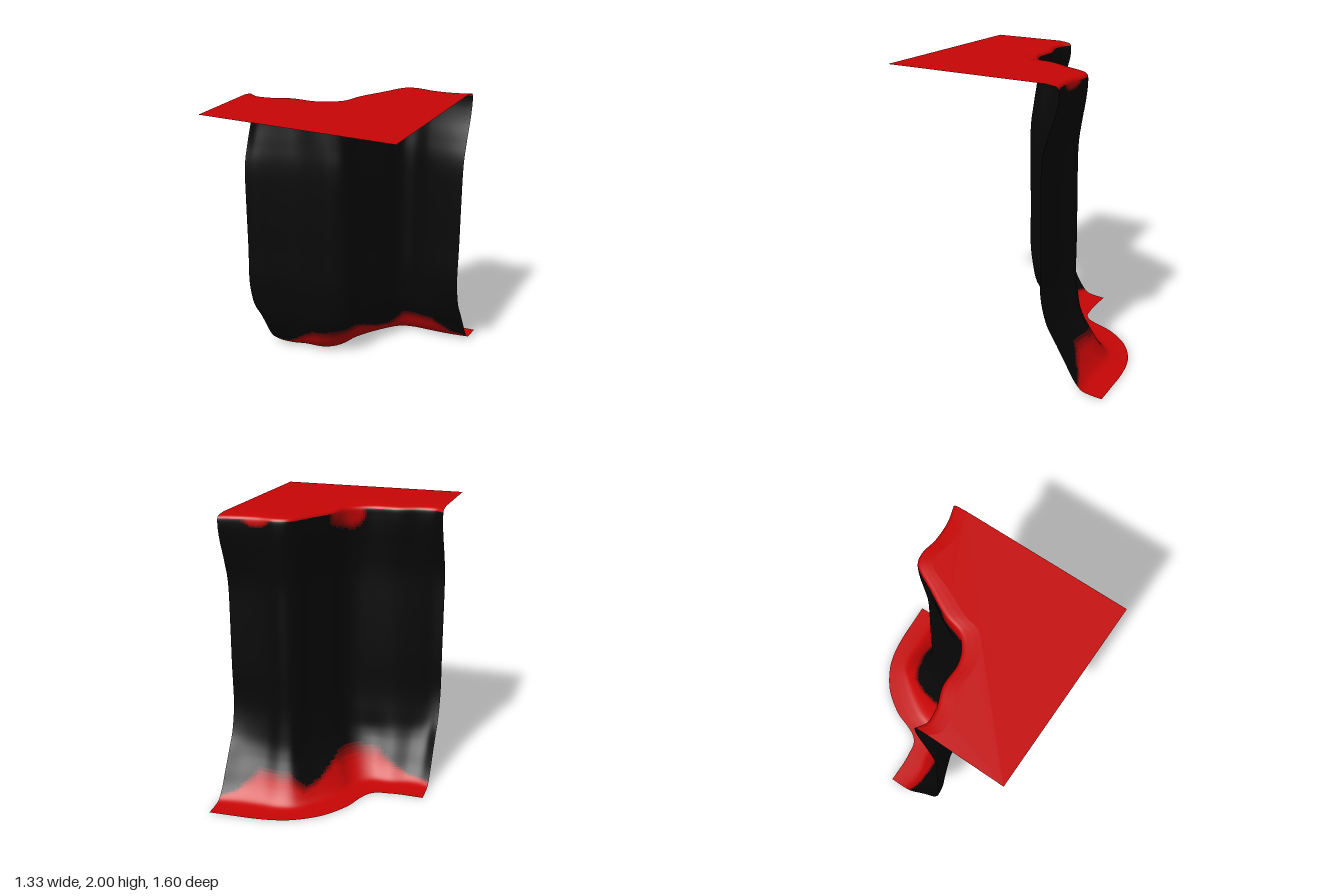
import * as THREE from 'three';

const COLS = 110, ROWS = 90, SHADES = 7;

// Matching points along the cliff's upper rim, middle and foot edge:
// [rimX, rimZ, midX, midZ, footX, footZ]
const EDGES = [
  [-0.667, 0.18, -0.667, 0.32, -0.667, -0.135], [-0.6, 0.22, -0.6, 0.31, -0.58, -0.137],
  [-0.5, 0.215, -0.5, 0.27, -0.5, -0.14], [-0.36, 0.165, -0.34, 0.215, -0.42, -0.15],
  [-0.2, 0.16, -0.18, 0.19, -0.33, -0.17], [-0.1, 0.12, -0.08, 0.17, -0.285, -0.21],
  [-0.03, 0.05, 0, 0.12, -0.25, -0.28], [0.01, -0.08, 0.05, -0.02, -0.2, -0.42],
  [0.1, -0.25, 0.14, -0.2, -0.08, -0.59], [0.2, -0.42, 0.2, -0.35, 0.07, -0.7],
  [0.28, -0.445, 0.28, -0.385, 0.18, -0.745], [0.4, -0.43, 0.4, -0.36, 0.33, -0.775],
  [0.55, -0.44, 0.55, -0.35, 0.52, -0.79], [0.667, -0.475, 0.667, -0.35, 0.667, -0.8],
];

// Side profile: [share of the way from rim to foot edge, height, share from rim to middle]
const PROFILE = [
  [1, 0, 0], [0.75, 0.004, 0], [0.56, 0.015, 0], [0.46, 0.04, 0], [0.32, 0.1, 0],
  [0.18, 0.18, 0], [0, 0.29, 0.05], [0, 0.47, 0.8], [0, 0.65, 1.05], [0, 0.9, 1], [0, 1.2, 1],
  [0, 1.49, 0.96], [0, 1.67, 0.6], [0, 1.83, 0.15], [0, 1.92, 0], [0, 1.965, 0],
  [-0.03, 1.984, 0], [-0.14, 1.994, 0], [-0.3, 2, 0],
];

// Height of the red earth along the foot: [x, height]
const FOOT_RED = [
  [-0.667, 0.04], [-0.5, 0.06], [-0.38, 0.13], [-0.25, 0.21], [-0.02, 0.22],
  [0.04, 0.12], [0.1, 0.1], [0.2, 0.2], [0.42, 0.21], [0.56, 0.08], [0.667, 0.04],
];

function lookup(table, x) {
  for (let i = 1; i < table.length; i++) {
    const [x0, y0] = table[i - 1], [x1, y1] = table[i];
    if (x <= x1) return y0 + (y1 - y0) * Math.max(0, (x - x0) / (x1 - x0));
  }
  return table[table.length - 1][1];
}

const spline = (points) => new THREE.CatmullRomCurve3(points, false, 'centripetal');
const edgeCurve = (k) => spline(EDGES.map((e) => new THREE.Vector3(e[k], 0, e[k + 1])));

// 0 = red earth, SHADES - 1 = dark rock, steps of blending between
function shade(x, y) {
  if (y > 1.97) return 0;
  const patches = Math.min(
    Math.hypot((x + 0.06) / 0.07, (y - 1.95) / 0.09),
    Math.hypot((x - 0.42) / 0.08, (y - 1.97) / 0.04));
  const t = Math.min(
    THREE.MathUtils.smoothstep(y / lookup(FOOT_RED, x), 0.6, 1.2),
    THREE.MathUtils.smoothstep(patches, 0.6, 1.4));
  return Math.round(t * (SHADES - 1));
}

export function createModel() {
  const group = new THREE.Group();
  const rim = edgeCurve(0), middle = edgeCurve(2), foot = edgeCurve(4);
  const profile = spline(PROFILE.map((p) => new THREE.Vector3(...p)));

  // Sweep the profile between the edges
  const positions = [], edge = [];
  for (let r = 0; r <= ROWS; r++) {
    const p = profile.getPoint(r / ROWS);
    for (let c = 0; c <= COLS; c++) {
      const t = c / COLS, top = rim.getPoint(t);
      const v = top.clone()
        .addScaledVector(foot.getPoint(t).sub(top), p.x)
        .addScaledVector(middle.getPoint(t).sub(top), p.z);
      v.x = THREE.MathUtils.clamp(v.x, -0.667, 0.667);
      v.y = THREE.MathUtils.clamp(p.y, 0, 2);
      positions.push(v.x, v.y, v.z);
      if (r === ROWS) edge.push(v);
    }
  }

  // Share the cells out by colour
  const cells = Array.from({ length: SHADES }, () => []), all = [];
  for (let r = 0; r < ROWS; r++) {
    for (let c = 0; c < COLS; c++) {
      const a = r * (COLS + 1) + c, b = a + 1, d = a + COLS + 1, e = d + 1;
      const quad = [a, d, b, b, d, e];
      const x = (positions[3 * a] + positions[3 * e]) / 2;
      const y = (positions[3 * a + 1] + positions[3 * e + 1]) / 2;
      cells[shade(x, y)].push(...quad);
      all.push(...quad);
    }
  }
  const whole = new THREE.BufferGeometry();
  whole.setAttribute('position', new THREE.Float32BufferAttribute(positions, 3));
  whole.setIndex(all);
  whole.computeVertexNormals();

  // Cliff face, one mesh per shade
  const red = new THREE.Color(0xc80505), dark = new THREE.Color(0x070707);
  const materials = cells.map((_, i) => new THREE.MeshStandardMaterial({
    color: red.clone().lerp(dark, i / (SHADES - 1)), side: THREE.DoubleSide,
  }));
  cells.forEach((index, i) => {
    const geometry = new THREE.BufferGeometry();
    geometry.setAttribute('position', whole.getAttribute('position'));
    geometry.setAttribute('normal', whole.getAttribute('normal'));
    geometry.setIndex(index);
    const mesh = new THREE.Mesh(geometry, materials[i]);
    mesh.name = i === 0 ? 'redEarth' : i === SHADES - 1 ? 'rockFace' : `earthBlend${i}`;
    group.add(mesh);
  });

  // Flat plateau from the cliff top to the front edge
  const outline = new THREE.Shape(edge.map((v) => new THREE.Vector2(v.x, -v.z)));
  outline.lineTo(0.667, -0.8);
  outline.lineTo(-0.667, -0.8);
  const plateau = new THREE.Mesh(new THREE.ShapeGeometry(outline).rotateX(-Math.PI / 2), materials[0]);
  plateau.position.y = 2;
  plateau.name = 'plateau';
  group.add(plateau);
  return group;
}
